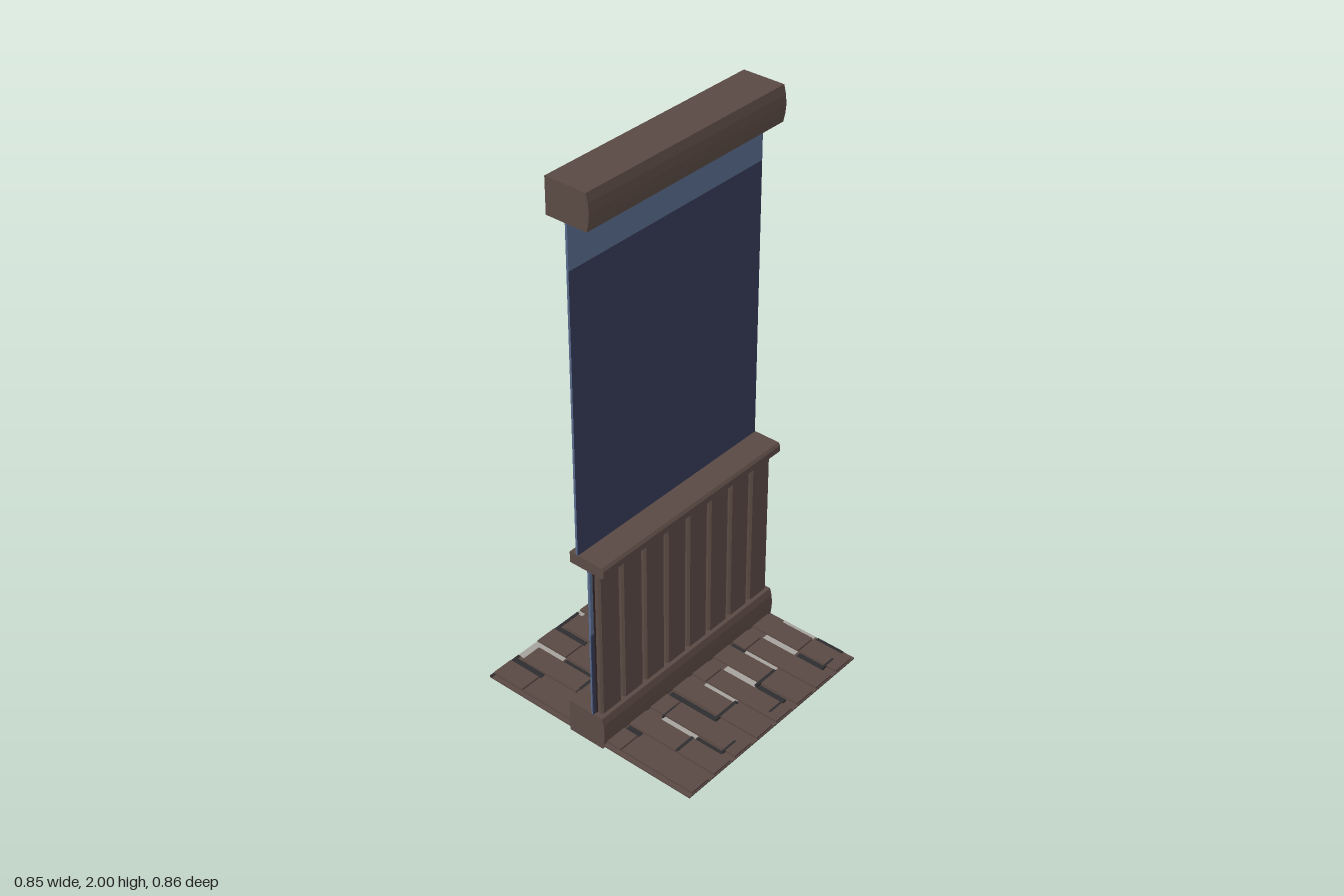
import * as THREE from 'three';

const mat = (name, color, side = THREE.FrontSide) =>
  Object.assign(new THREE.MeshStandardMaterial({ color, side }), { name });

export function createModel() {
  const group = new THREE.Group();
  const wood = mat('brown wood', 0x5a4943);
  const darkWood = mat('dark wood', 0x35292a);
  const navy = mat('navy plaster', 0x363b57);
  const blue = mat('light blue plaster', 0x586a8b);
  const slate = mat('dark slate', 0x2d2d30, THREE.DoubleSide);
  const grey = mat('pale grey stone', 0xa5a29d);
  const W = 0.852;

  const add = (name, geo, material, parent = group) => {
    const mesh = new THREE.Mesh(geo, material);
    mesh.name = name;
    parent.add(mesh);
    return mesh;
  };
  // Box given by its limits on each axis
  const box = (name, [x0, x1], [y0, y1], [z0, z1], material, parent) =>
    add(name, new THREE.BoxGeometry(x1 - x0, y1 - y0, z1 - z0), material, parent)
      .position.set((x0 + x1) / 2, (y0 + y1) / 2, (z0 + z1) / 2);
  // Moulding: a (z, y) profile swept across the full width
  const moulding = (name, points) => {
    const shape = new THREE.Shape(points.map(([z, y]) => new THREE.Vector2(z, y)));
    const geo = new THREE.ExtrudeGeometry(shape, { depth: W, bevelEnabled: false });
    geo.rotateY(-Math.PI / 2).translate(W / 2, 0, 0);
    add(name, geo, wood);
  };

  // Beams: cornice, chair rail and skirting with softly bulged fronts
  moulding('cornice', [[-0.09, 1.88], [0.06, 1.88], [0.067, 1.91], [0.07, 1.94], [0.067, 1.97], [0.06, 2], [-0.09, 2]]);
  moulding('chairRail', [[-0.045, 0.7], [0.084, 0.7], [0.091, 0.708], [0.091, 0.73], [0.084, 0.74], [-0.045, 0.74]]);
  moulding('skirting', [[-0.07, 0], [0.07, 0], [0.077, 0.03], [0.08, 0.065], [0.077, 0.1], [0.07, 0.125], [-0.07, 0.125]]);

  // Upper wall: navy field under a light blue band, with light edges
  const sides = [blue, blue, navy, navy, navy, navy];
  box('upperWall', [-W / 2, 0.424], [0.74, 1.73], [-0.02, -0.012], sides);
  box('upperWallBand', [-W / 2, 0.424], [1.73, 1.88], [-0.02, -0.012], blue);

  // Lower wall behind the panelling
  box('lowerWall', [-W / 2, 0.42], [0.12, 0.7], [0.025, 0.031], sides);
  box('lowerWallTop', [-W / 2, 0.42], [0.685, 0.7], [0.031, 0.034], blue);
  box('lowerWallEdge', [-W / 2, -0.414], [0.45, 0.685], [0.031, 0.034], blue);
  box('lowerWallEdgeBase', [-W / 2, -0.414], [0.12, 0.45], [0.031, 0.034], navy);

  // Wainscot: eight chamfered boards over a dark backing
  const wainscot = new THREE.Group();
  wainscot.name = 'wainscot';
  group.add(wainscot);
  box('backing', [-0.414, 0.419], [0.12, 0.685], [0.031, 0.036], darkWood, wainscot);
  const pitch = 0.1045;
  const w = 0.046;
  const section = new THREE.Shape([[-w, 0], [w, 0], [w, 0.012], [w - 0.006, 0.02], [-w + 0.006, 0.02], [-w, 0.012]]
    .map(([x, z]) => new THREE.Vector2(x, -z)));
  for (let i = 0; i < 8; i++) {
    const geo = new THREE.ExtrudeGeometry(section, { depth: 0.565, bevelEnabled: false });
    geo.rotateX(-Math.PI / 2);
    add('wainscotBoard', geo, wood, wainscot).position.set(-0.361 + i * pitch * 1.005, 0.12, 0.036);
  }

  // Back tiles: three columns with a scalloped ridge that ripples row by row
  const COLS = 3, ROWS = 4, NY = 64, y0 = 0.74, H = 1.14;
  for (let c = 0; c < COLS; c++) {
    const pos = [], index = [];
    for (let j = 0; j <= NY; j++) {
      const t = j / NY;
      const ridge = 0.77 + 0.13 * Math.cos(2 * Math.PI * ROWS * t);
      const lift = 0.003 * Math.sin(2 * Math.PI * ROWS * t);
      const rows = [[0, -0.026], [ridge / 2, -0.035 + lift], [ridge, -0.041 + lift], [1, -0.023]];
      for (const [u, z] of rows) pos.push(0.42 - (c + u) * (0.84 / COLS), y0 + t * H, z);
      if (j < NY) for (let k = 0; k < 3; k++) {
        const a = j * 4 + k, b = a + 4;
        index.push(a, a + 1, b, a + 1, b + 1, b);
      }
    }
    let geo = new THREE.BufferGeometry();
    geo.setAttribute('position', new THREE.Float32BufferAttribute(pos, 3));
    geo.setIndex(index);
    geo = geo.toNonIndexed();
    geo.computeVertexNormals();
    add('backTiles', geo, slate);
  }

  // Floor: a thin base with staggered raised planks
  const floor = new THREE.Group();
  floor.name = 'floor';
  group.add(floor);
  box('floorBase', [-W / 2, W / 2], [0.013, 0.018], [-0.43, 0.43], wood, floor);
  const starts = [-0.41, -0.303, -0.2, -0.09, 0.01, 0.12, 0.22, 0.328];
  starts.forEach((x, i) => {
    const cuts = i % 2 ? [-0.402, -0.155, 0.272, 0.43] : [-0.43, -0.296, 0.135, 0.43];
    for (let k = 0; k < 3; k++)
      box('floorPlank', [x, x + 0.08], [0.018, 0.026], [cuts[k] + 0.003, cuts[k + 1] - 0.003], wood, floor);
  });

  // Pale and dark patches showing between the planks: x0, x1, z0, z1
  const patches = (name, material, y, list) => list.forEach(([a, b, c, d]) =>
    box(name, [a, b], [0.018, y], [c, d], material, floor));
  patches('paleGap', grey, 0.0195, [
    [-0.29, -0.2, -0.43, -0.403], [-0.222, -0.2, -0.403, -0.297], [-0.005, 0.12, -0.43, -0.403],
    [0.088, 0.12, -0.403, -0.297], [0.28, 0.426, -0.43, -0.403], [0.3, 0.328, -0.403, -0.297],
    [0.406, 0.426, -0.403, -0.297], [-0.222, -0.2, -0.15, 0], [-0.01, 0.01, -0.15, 0],
    [0.088, 0.12, -0.15, 0], [0.3, 0.328, -0.15, 0], [-0.222, -0.2, 0.137, 0.27],
    [-0.01, 0.01, 0.137, 0.27], [0.09, 0.12, 0.137, 0.27], [0.2, 0.22, 0.137, 0.27],
    [0.3, 0.328, 0.137, 0.27], [0.406, 0.426, 0.137, 0.27], [-0.3, -0.2, 0.265, 0.278]]);
  patches('darkGap', slate, 0.0205, [
    [-0.426, -0.29, -0.43, -0.42], [-0.326, -0.305, -0.43, -0.295], [-0.145, 0, -0.43, -0.42],
    [-0.118, -0.095, -0.42, -0.295], [0.14, 0.28, -0.43, -0.42], [0.2, 0.22, -0.42, -0.295],
    [-0.222, -0.205, -0.29, -0.155], [0.092, 0.115, -0.29, -0.155], [0.302, 0.325, -0.29, -0.155],
    [0.412, 0.426, -0.29, -0.155], [-0.326, -0.305, -0.15, -0.09], [-0.118, -0.095, -0.15, -0.09],
    [0.2, 0.218, -0.15, -0.09], [-0.326, -0.305, 0.08, 0.135], [-0.118, -0.095, 0.08, 0.275],
    [0.2, 0.218, 0.08, 0.135], [-0.222, -0.205, 0.28, 0.385], [0.092, 0.115, 0.28, 0.385],
    [0.302, 0.325, 0.28, 0.385], [0.412, 0.426, 0.28, 0.385]]);
  patches('darkJoint', slate, 0.0265, [
    [-0.285, -0.215, -0.161, -0.15], [0.03, 0.14, -0.161, -0.15], [0.3, 0.42, -0.161, -0.15],
    [-0.11, 0, 0.266, 0.277], [-0.3, -0.22, 0.266, 0.277], [0.1, 0.2, 0.266, 0.277],
    [-0.21, -0.145, 0.132, 0.138], [-0.21, -0.145, 0.38, 0.388], [0.03, 0.11, 0.38, 0.388], [0.3, 0.37, 0.38, 0.388]]);

  return group;
}
